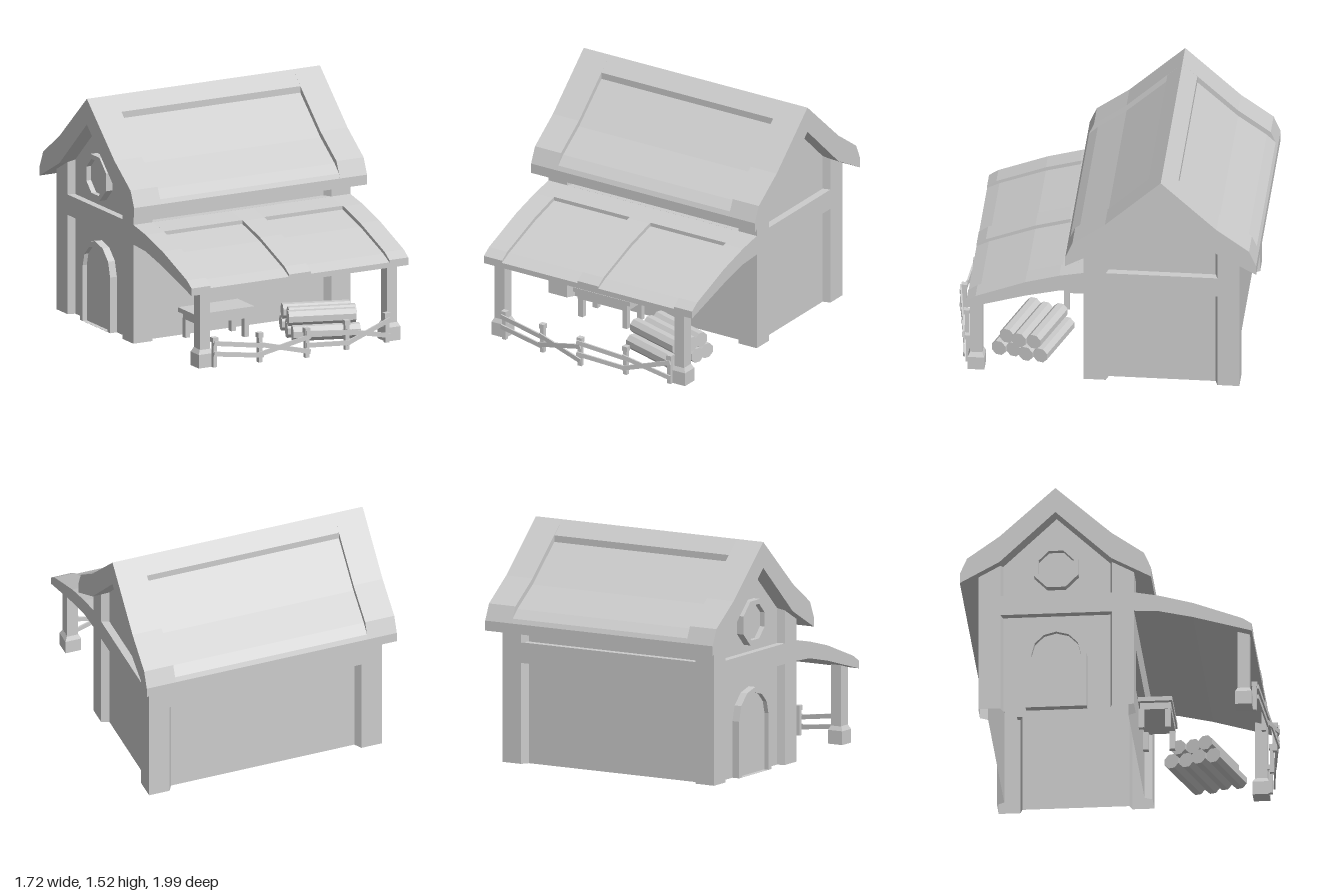
import * as THREE from 'three';

const mat = new THREE.MeshStandardMaterial({ color: 0xcccccc, flatShading: true });
const sheetMat = new THREE.MeshStandardMaterial({ color: 0xcccccc, flatShading: true, side: THREE.DoubleSide });

export function createModel() {
  const root = new THREE.Group();

  const add = (name, geo, x = 0, y = 0, z = 0, parent = root, material = mat) => {
    const m = new THREE.Mesh(geo, material);
    m.name = name;
    m.position.set(x, y, z);
    parent.add(m);
    return m;
  };
  const box = (name, x0, x1, y0, y1, z0, z1, parent = root) =>
    add(name, new THREE.BoxGeometry(x1 - x0, y1 - y0, z1 - z0),
      (x0 + x1) / 2, (y0 + y1) / 2, (z0 + z1) / 2, parent);
  const toShape = pts => new THREE.Shape(pts.map(p => new THREE.Vector2(p[0], p[1])));
  // extrude a (z, y) profile along x, from x0 to x1
  const alongX = (name, shape, x0, x1, curveSegments = 3) => {
    const g = new THREE.ExtrudeGeometry(shape, { depth: x1 - x0, bevelEnabled: false, curveSegments });
    g.rotateY(-Math.PI / 2);
    return add(name, g, x1);
  };

  const ridgeZ = -0.38;

  // walls: an open shell, thick corner posts with slanted edges and sunken panels between
  const corner = [[0.75, 0.345], [0.8, 0.36], [0.8, 0.502], [0.66, 0.502], [0.63, 0.452]];
  const perimeter = [];
  for (const [sx, sz] of [[1, 1], [-1, 1], [-1, -1], [1, -1]]) {
    const pts = corner.map(([x, z]) => [x * sx, z * sz + ridgeZ]);
    perimeter.push(...(sx * sz > 0 ? pts : pts.reverse()));
  }
  perimeter.push(perimeter[0]);
  const n = perimeter.length;
  const walls = new THREE.PlaneGeometry(1, 1, n - 1, 1);
  for (let i = 0; i < n; i++) {
    // corners run clockwise from above, so they are laid out in reverse
    const [x, z] = perimeter[n - 1 - i];
    walls.attributes.position.setXYZ(i, x, 1.03, z);
    walls.attributes.position.setXYZ(n + i, x, 0, z);
  }
  walls.computeVertexNormals();
  add('walls', walls, 0, 0, 0, root, sheetMat);

  // gable walls
  const gable = toShape([[0, 0.99], [ridgeZ, 1.39], [2 * ridgeZ, 0.99]]);
  alongX('gableWall', gable, -0.75, -0.74);
  alongX('gableWall', gable, 0.74, 0.75);

  // horizontal beams around the walls
  for (const s of [-1, 1])
    box('sideBeam', s * 0.775 - 0.025, s * 0.775 + 0.025, 0.66, 0.795, -0.76, 0);
  box('backBeam', -0.68, 0.68, 0.66, 0.795, -0.882, -0.832);
  box('frontBeam', -0.68, 0.68, 0.455, 0.79, 0.072, 0.122);

  // main roof: full profile at the ends, sunken panel between them
  const mirrorZ = half => [...half, ...half.slice(0, -1).reverse().map(([z, y]) => [2 * ridgeZ - z, y])];
  const under = mirrorZ([[0.236, 0.87], [-0.02, 1.01], [ridgeZ, 1.35]]);
  const outer = mirrorZ([[0.236, 0.935], [0.19, 1.04], [-0.02, 1.19], [ridgeZ, 1.52]]);
  const sunk = mirrorZ([[0.236, 0.935], [0.222, 0.965], [0.165, 1.02], [-0.02, 1.15],
    [-0.283, 1.387], [-0.283, 1.43], [ridgeZ, 1.52]]);
  const roofEnd = toShape([...outer, ...[...under].reverse()]);
  const roofMid = toShape([...sunk, ...[...under].reverse()]);
  alongX('mainRoofEnd', roofEnd, -0.86, -0.66);
  alongX('mainRoofPanel', roofMid, -0.66, 0.66);
  alongX('mainRoofEnd', roofEnd, 0.66, 0.86);

  // porch roof: three ribs with two sunken panels
  const porchUnder = [[0.88, 0.49], [0.5, 0.6], [0.28, 0.65], [0.1, 0.66]];
  const rib = toShape([...porchUnder, [0.1, 0.79], [0.12, 0.79], [0.28, 0.76], [0.5, 0.7], [0.82, 0.58], [0.88, 0.54]]);
  const sunkPorch = toShape([...porchUnder, [0.1, 0.79], [0.12, 0.79], [0.27, 0.762], [0.27, 0.737],
    [0.5, 0.675], [0.8, 0.565], [0.88, 0.525]]);
  for (const [a, b] of [[-0.8, -0.66], [-0.08, 0.08], [0.66, 0.8]]) alongX('porchRoofRib', rib, a, b);
  for (const [a, b] of [[-0.66, -0.08], [0.08, 0.66]]) alongX('porchRoofPanel', sunkPorch, a, b);

  // porch posts on tapered feet
  for (const s of [-1, 1]) {
    box('porchPost', s * 0.69 - 0.038, s * 0.69 + 0.038, 0, 0.53, 0.782, 0.862);
    box('porchPostFoot', s * 0.69 - 0.054, s * 0.69 + 0.054, 0, 0.09, 0.768, 0.876);
    const taper = new THREE.CylinderGeometry(0.039 * Math.SQRT2, 0.054 * Math.SQRT2, 0.03, 4);
    taper.rotateY(Math.PI / 4);
    add('porchPostTaper', taper, s * 0.69, 0.105, 0.822);
  }

  // arched door on the right side
  const arch = (r, spring, y0) => {
    const s = new THREE.Shape();
    s.moveTo(ridgeZ - r, y0);
    s.lineTo(ridgeZ + r, y0);
    s.lineTo(ridgeZ + r, spring);
    s.absarc(ridgeZ, spring, r, 0, Math.PI, false);
    s.closePath();
    return s;
  };
  const frame = arch(0.197, 0.37, 0);
  frame.holes.push(arch(0.16, 0.37, 0.001));
  alongX('doorFrame', frame, -0.8, -0.75);
  alongX('door', arch(0.165, 0.37, 0), -0.77, -0.75);

  // octagonal gable window above the door
  const octagon = r => new THREE.Shape().absarc(ridgeZ, 0.99, r, Math.PI / 8, Math.PI * 17 / 8, false);
  const ring = octagon(0.155);
  ring.holes.push(octagon(0.122));
  alongX('windowFrame', ring, -0.8, -0.745, 4);
  alongX('windowPane', octagon(0.125), -0.765, -0.745, 4);

  // bench against the front wall
  const bench = new THREE.Group();
  bench.name = 'bench';
  root.add(bench);
  box('benchSeat', -0.47, -0.03, 0.17, 0.2, 0.12, 0.34, bench);
  box('benchApron', -0.44, -0.06, 0.125, 0.17, 0.13, 0.33, bench);
  for (const x of [-0.42, -0.08]) for (const z of [0.14, 0.31])
    box('benchLeg', x - 0.018, x + 0.018, 0, 0.13, z - 0.018, z + 0.018, bench);

  // stacked logs, turned slightly
  const logs = new THREE.Group();
  logs.name = 'logPile';
  logs.position.set(0.37, 0, 0.488);
  logs.rotation.y = -0.32;
  root.add(logs);
  const logGeo = new THREE.CylinderGeometry(0.052, 0.052, 0.44, 8);
  logGeo.rotateY(Math.PI / 8);
  logGeo.rotateZ(Math.PI / 2);
  [4, 3].forEach((count, row) => {
    for (let i = 0; i < count; i++)
      add('log', logGeo, (i % 2) * 0.02 - 0.01, 0.049 + row * 0.09, (i - (count - 1) / 2) * 0.094, logs);
  });

  // bowed fence with capped posts and crooked rails
  const fence = new THREE.Group();
  fence.name = 'fence';
  root.add(fence);
  const posts = [[-0.635, 0.885], [-0.32, 0.92], [0, 0.965], [0.32, 0.92], [0.635, 0.885]];
  for (const [x, z] of posts) {
    box('fencePost', x - 0.014, x + 0.014, 0, 0.17, z - 0.014, z + 0.014, fence);
    box('fencePostCap', x - 0.019, x + 0.019, 0.165, 0.197, z - 0.019, z + 0.019, fence);
  }
  const rails = [[[0.16, 0.115], [0.09, 0.05]], [[0.12, 0.045], [0.06, 0.14]],
    [[0.165, 0.12], [0.085, 0.05]], [[0.05, 0.15], [0.125, 0.05]]];
  rails.forEach((pair, i) => pair.forEach(([ya, yb]) => {
    const a = new THREE.Vector3(posts[i][0], ya, posts[i][1] + 0.024);
    const b = new THREE.Vector3(posts[i + 1][0], yb, posts[i + 1][1] + 0.024);
    const mid = a.clone().add(b).multiplyScalar(0.5);
    const rail = add('fenceRail', new THREE.BoxGeometry(0.011, 0.03, a.distanceTo(b) + 0.03),
      mid.x, mid.y, mid.z, fence);
    rail.lookAt(b);
  }));

  return root;
}
